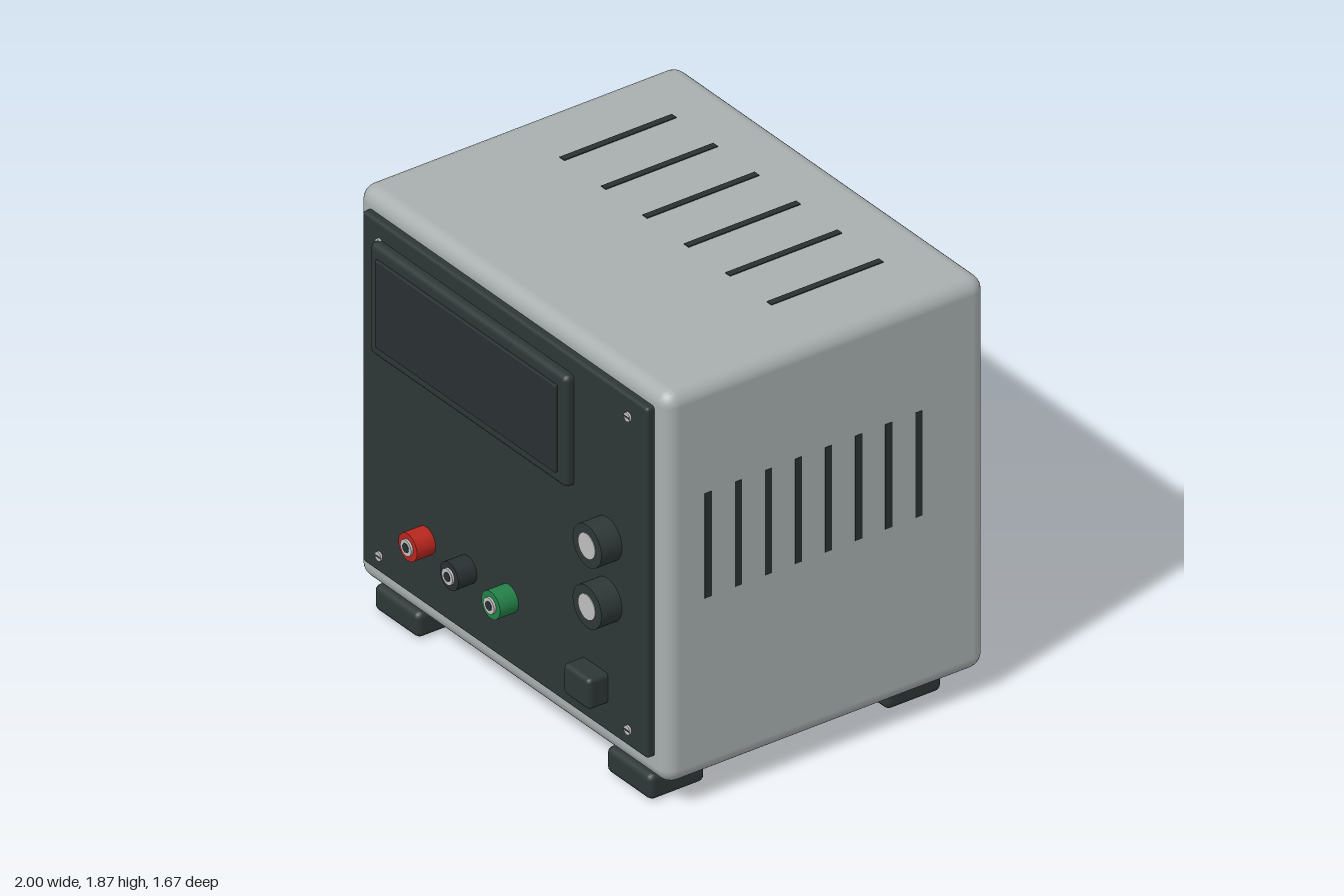
import * as THREE from 'three';
import { RoundedBoxGeometry } from 'three/addons/geometries/RoundedBoxGeometry.js';

const paint = (name, color) => {
  const m = new THREE.MeshStandardMaterial({ color });
  m.name = name;
  return m;
};

export function createModel() {
  const model = new THREE.Group();
  model.name = 'benchPowerSupply';

  const grey = paint('case grey', 0xa8aeae);
  const dark = paint('panel charcoal', 0x2e3636);
  const black = paint('black plastic', 0x293031);
  const metal = paint('metal', 0xbdbdbd);
  const red = paint('terminal red', 0xb8261e);
  const green = paint('terminal green', 0x238048);

  const add = (name, geometry, material, x, y, z) => {
    const mesh = new THREE.Mesh(geometry, material);
    mesh.name = name;
    mesh.position.set(x, y, z);
    model.add(mesh);
    return mesh;
  };
  // Rounded block given by its limits on each axis
  const block = (name, [x0, x1], [y0, y1], [z0, z1], r, material, seg = 2) =>
    add(name, new RoundedBoxGeometry(x1 - x0, y1 - y0, z1 - z0, seg, r), material,
      (x0 + x1) / 2, (y0 + y1) / 2, (z0 + z1) / 2);
  // Cylinder lying along z
  const disc = (name, r, z0, z1, material, x, y, rFront = r) =>
    add(name, new THREE.CylinderGeometry(rFront, r, z1 - z0, 32).rotateX(Math.PI / 2),
      material, x, y, (z0 + z1) / 2);

  // Case and front panel
  block('case', [-1, 1], [0.11, 1.865], [-0.83, 0.70], 0.065, grey, 3);
  block('frontPanel', [-0.92, 0.92], [0.22, 1.79], [0.66, 0.735], 0.015, dark);

  // Display
  block('displayBezel', [-0.82, 0.45], [1.215, 1.715], [0.70, 0.775], 0.025, dark);
  block('displayScreen', [-0.767, 0.397], [1.27, 1.66], [0.74, 0.788], 0.004, black);

  // Knobs with metal caps
  for (const y of [1.09, 0.817]) {
    disc('knob', 0.093, 0.73, 0.833, dark, 0.665, y);
    disc('knobCap', 0.055, 0.828, 0.836, metal, 0.665, y);
  }

  // Binding posts: coloured collar, metal ring, dark socket
  [[-0.505, red], [-0.238, black], [0.03, green]].forEach(([x, material]) => {
    disc('terminalCollar', 0.06, 0.73, 0.823, material, x, 0.513);
    disc('terminalRing', 0.035, 0.82, 0.833, metal, x, 0.513);
    disc('terminalSocket', 0.02, 0.83, 0.835, black, x, 0.513);
  });

  // Power switch
  block('powerSwitch', [0.5, 0.67], [0.347, 0.485], [0.72, 0.828], 0.02, dark);

  // Slotted panel screws
  for (const x of [-0.805, 0.8]) for (const y of [0.297, 1.7]) {
    disc('screw', 0.02, 0.73, 0.744, metal, x, y);
    add('screwSlot', new THREE.BoxGeometry(0.034, 0.006, 0.004), black, x, y, 0.7435);
  }

  // Top vents, and side vents on the left only
  for (let i = 0; i < 6; i++)
    add('topVent', new THREE.BoxGeometry(0.03, 0.008, 0.535), black, -0.668 + i * 0.267, 1.865, -0.302);
  for (let i = 0; i < 8; i++)
    add('sideVent', new THREE.BoxGeometry(0.006, 0.47, 0.033), black, 0.999, 1.14, 0.503 - i * 0.1436);

  // Feet
  for (const x of [-0.753, 0.745]) for (const z of [-0.565, 0.565])
    block('foot', [x - 0.146, x + 0.146], [0, 0.115], [z - 0.133, z + 0.133], 0.028, dark);

  return model;
}
